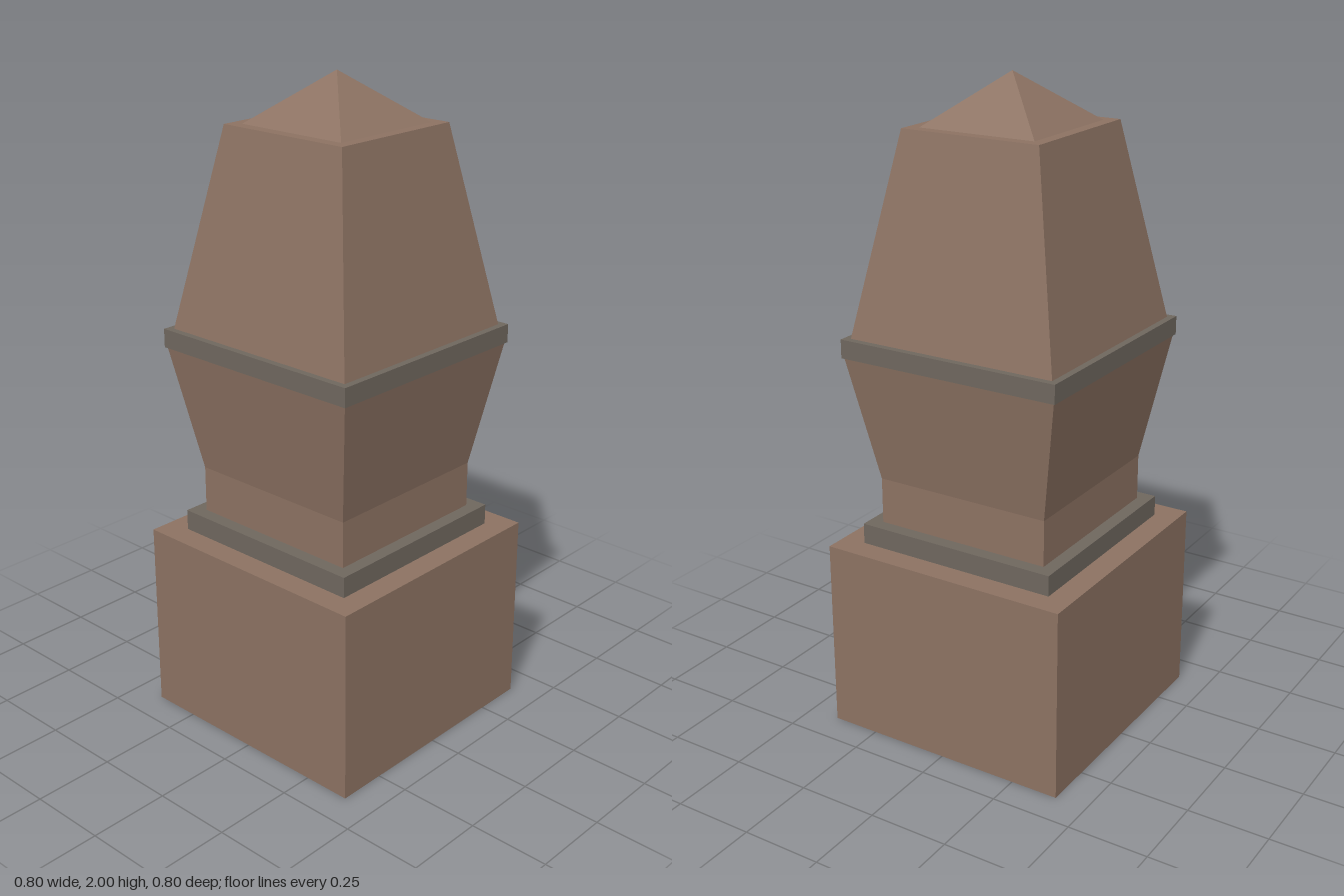
import * as THREE from 'three';

const brown = new THREE.MeshStandardMaterial({ color: 0x8c7262 });
brown.name = 'brown stone';
const grey = new THREE.MeshStandardMaterial({ color: 0x6f675e });
grey.name = 'grey stone';

// Square frustum with crisp faces, from half-widths and a height range
function block(name, material, bottom, top, y0, y1) {
  const r = Math.SQRT2;
  const geometry = new THREE.CylinderGeometry(top * r, bottom * r, y1 - y0, 4, 1, false, Math.PI / 4).toNonIndexed();
  geometry.computeVertexNormals();
  const mesh = new THREE.Mesh(geometry, material);
  mesh.name = name;
  mesh.position.y = (y0 + y1) / 2;
  return mesh;
}

export function createModel() {
  const model = new THREE.Group();
  model.name = 'stonePost';
  model.add(
    block('plinth', brown, 0.4, 0.4, 0, 0.6),
    block('lowerBand', grey, 0.325, 0.325, 0.6, 0.664),
    block('neck', brown, 0.283, 0.283, 0.664, 0.807),
    block('flaredBody', brown, 0.283, 0.352, 0.807, 1.195),
    block('upperBand', grey, 0.358, 0.358, 1.195, 1.252),
    block('taperedTop', brown, 0.337, 0.223, 1.252, 1.852),
    block('pyramidCap', brown, 0.187, 0, 1.852, 2),
  );
  return model;
}
